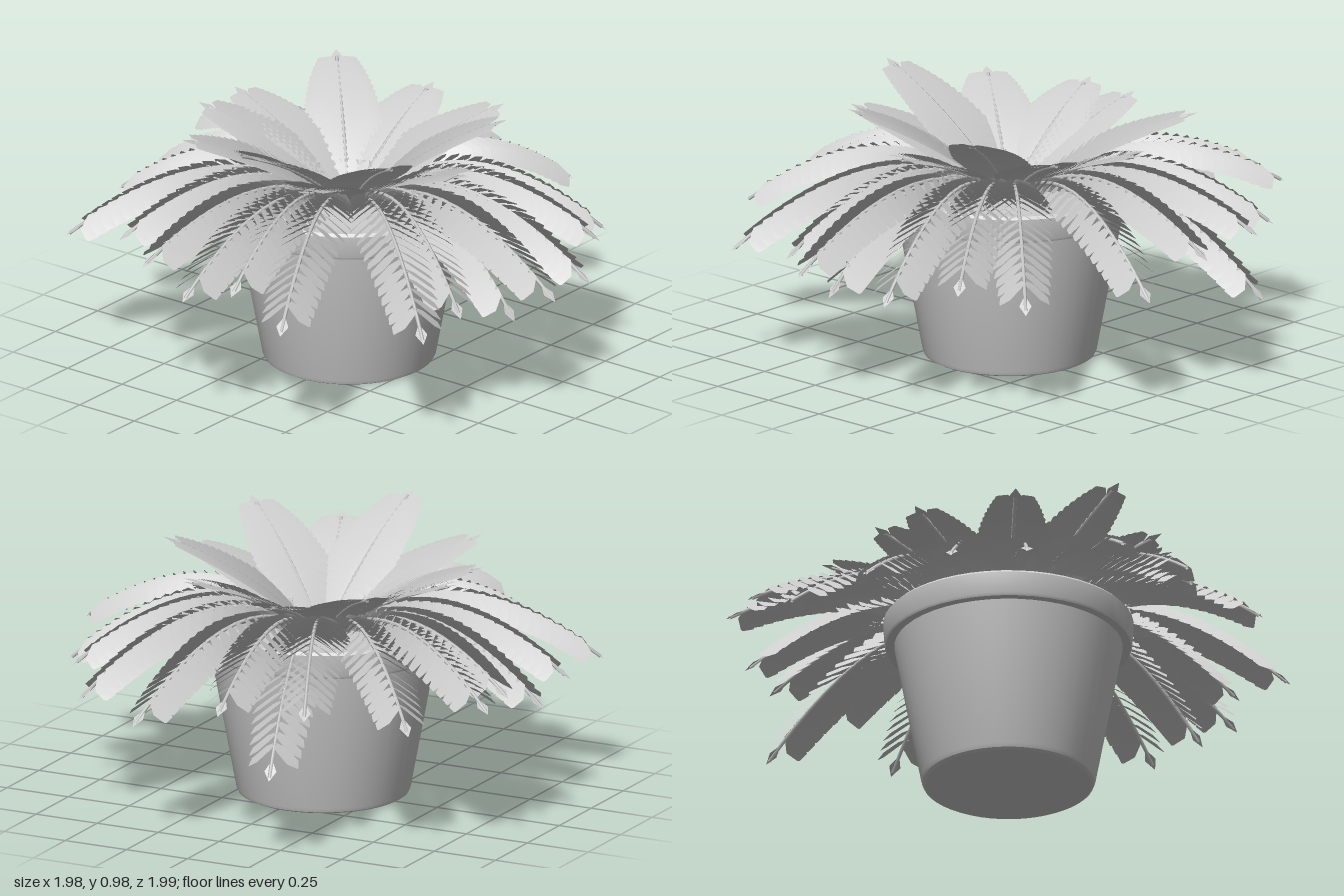
import * as THREE from 'three';
import { mergeGeometries, toCreasedNormals } from 'three/addons/utils/BufferGeometryUtils.js';

const grey = new THREE.MeshStandardMaterial({ color: 0xcccccc, side: THREE.DoubleSide });
grey.name = 'plain grey';

const CENTRE = new THREE.Vector3(-0.01, 0, -0.03);
const UP = new THREE.Vector3(0, 1, 0);

// Outline of a leaflet: [distance along, half width], both as fractions
const LEAFLET = [[0, 0.12], [0.25, 0.45], [0.78, 0.5], [1, 0.06]];
const DIAMOND = [[0, 0.08], [0.5, 0.5], [1, 0.02]];

// Thin blade growing from p along dir, curling down along normal n
function blade(outline, p, dir, wide, n, length, width, curl) {
  const pos = [], index = [];
  outline.forEach(([s, h], i) => {
    const mid = p.clone().addScaledVector(dir, s * length).addScaledVector(n, -curl * s * s * length);
    for (const side of [-1, 1]) pos.push(...mid.clone().addScaledVector(wide, side * h * width).toArray());
    if (i) {
      const a = 2 * i - 2;
      index.push(a, a + 2, a + 1, a + 1, a + 2, a + 3);
    }
  });
  const g = new THREE.BufferGeometry();
  g.setAttribute('position', new THREE.Float32BufferAttribute(pos, 3));
  g.setIndex(index);
  g.computeVertexNormals();
  // Turn the blade over if it faces down
  if (new THREE.Vector3().fromBufferAttribute(g.attributes.normal, 0).dot(n) < 0) {
    g.setIndex(index.reverse());
    g.computeVertexNormals();
  }
  return g;
}

// One frond: curved stalk, paired leaflets and a diamond at the tip
function frond(name, tip, o) {
  const end = new THREE.Vector3(...tip);
  const out = end.clone().sub(CENTRE).setY(0);
  const reach = out.length();
  out.normalize();
  const at = (r, y) => CENTRE.clone().addScaledVector(out, r).setY(y);
  const curve = new THREE.QuadraticBezierCurve3(at(0.04, 0.6), at(reach * o.bendAt, o.bendY(tip[1])), end);
  const side = new THREE.Vector3().crossVectors(out, UP).normalize();
  const blades = [];

  for (let i = 0; i < o.pairs; i++) {
    const u = i / (o.pairs - 1);
    const t = THREE.MathUtils.lerp(0.12, o.lastPair, u);
    const p = curve.getPointAt(t), T = curve.getTangentAt(t);
    const N = new THREE.Vector3().crossVectors(side, T).normalize();
    const grow = Math.min(1, 0.4 + u * 2) * (1 - o.taper * u * u * u);
    const a = THREE.MathUtils.lerp(0.4, o.sweep, u);
    for (const sgn of [-1, 1]) {
      const S = side.clone().multiplyScalar(sgn * Math.cos(o.fold)).addScaledVector(N, Math.sin(o.fold));
      const M = N.clone().multiplyScalar(Math.cos(o.fold)).addScaledVector(side, -sgn * Math.sin(o.fold));
      const dir = S.clone().multiplyScalar(Math.cos(a)).addScaledVector(T, Math.sin(a));
      const wide = T.clone().multiplyScalar(Math.cos(a)).addScaledVector(S, -Math.sin(a));
      wide.multiplyScalar(Math.cos(o.tilt)).addScaledVector(M, Math.sin(o.tilt));
      blades.push(blade(LEAFLET, p, dir, wide, M, o.length * grow, o.width, o.curl));
    }
  }
  const T = curve.getTangentAt(0.95);
  const N = new THREE.Vector3().crossVectors(side, T).normalize();
  blades.push(blade(DIAMOND, curve.getPointAt(0.94), T, side, N, 0.08, 0.045, 0));

  const group = new THREE.Group();
  group.name = name;
  const leaves = new THREE.Mesh(mergeGeometries(blades), grey);
  leaves.name = 'leaflets';
  const stalk = new THREE.Mesh(new THREE.TubeGeometry(curve, 14, 0.007, 5), grey);
  stalk.name = 'stalk';
  group.add(leaves, stalk);
  return group;
}

// Tip positions of the drooping and the upright fronds
const OUTER_TIPS = [
  [-0.98, 0.53, -0.03], [-0.9, 0.58, -0.27], [-0.93, 0.48, 0.37], [-0.62, 0.45, 0.78],
  [-0.11, 0.5, 0.98], [-0.12, 0.39, 0.8], [0.22, 0.44, 0.88], [0.66, 0.44, 0.61],
  [0.93, 0.46, 0.25], [0.97, 0.34, -0.32], [0.9, 0.54, -0.08], [0.64, 0.48, -0.71],
  [0.48, 0.55, -0.95], [0.35, 0.58, -0.96], [0.11, 0.48, -0.98], [-0.22, 0.5, -0.91],
  [-0.61, 0.46, -0.85], [-0.68, 0.55, -0.54], [-0.86, 0.55, 0.1], [-0.37, 0.47, 0.75],
  [0.45, 0.5, 0.74], [0.85, 0.55, -0.4],
];
const INNER_TIPS = [
  [-0.14, 0.87, -0.57], [0.06, 0.86, -0.57], [0.47, 0.9, -0.46], [-0.46, 0.88, -0.4],
  [-0.61, 0.96, -0.06], [-0.55, 0.86, 0.18], [-0.34, 0.94, 0.42], [-0.05, 0.84, 0.5],
  [0.24, 0.94, 0.45], [0.48, 0.87, 0.25], [0.54, 0.84, -0.1],
];
const OUTER = {
  pairs: 19, lastPair: 0.87, bendAt: 0.45, bendY: (y) => 0.98 - 0.14 * y,
  fold: -0.15, tilt: 0.65, length: 0.155, width: 0.075, curl: 0.2, sweep: 0.7, taper: 0.2,
};
const INNER = {
  pairs: 18, lastPair: 0.87, bendAt: 0.42, bendY: (y) => 0.81 + 0.5 * (y - 0.95),
  fold: 0.25, tilt: 0.25, length: 0.17, width: 0.07, curl: 0.15, sweep: 0.85, taper: 0.4,
};

function lathe(name, points) {
  const g = new THREE.LatheGeometry(points.map(([x, y]) => new THREE.Vector2(x, y)), 48);
  const mesh = new THREE.Mesh(toCreasedNormals(g, 0.5), grey);
  mesh.name = name;
  mesh.position.copy(CENTRE);
  return mesh;
}

export function createModel() {
  const model = new THREE.Group();
  model.name = 'pottedFern';

  // Tapered pot with a stepped rim, soil and the crown of the plant
  model.add(lathe('pot', [
    [0, 0], [0.3, 0], [0.311, 0.006], [0.317, 0.02], [0.415, 0.55],
    [0.445, 0.55], [0.45, 0.56], [0.455, 0.64], [0.445, 0.65], [0.41, 0.65], [0.4, 0.58],
  ]));
  model.add(lathe('soil', [[0.402, 0.59], [0.2, 0.6], [0, 0.605]]));
  model.add(lathe('crown', [[0.065, 0.58], [0.06, 0.635], [0, 0.64]]));

  OUTER_TIPS.forEach((tip) => model.add(frond('droopingFrond', tip, OUTER)));
  INNER_TIPS.forEach((tip) => model.add(frond('uprightFrond', tip, INNER)));
  return model;
}
